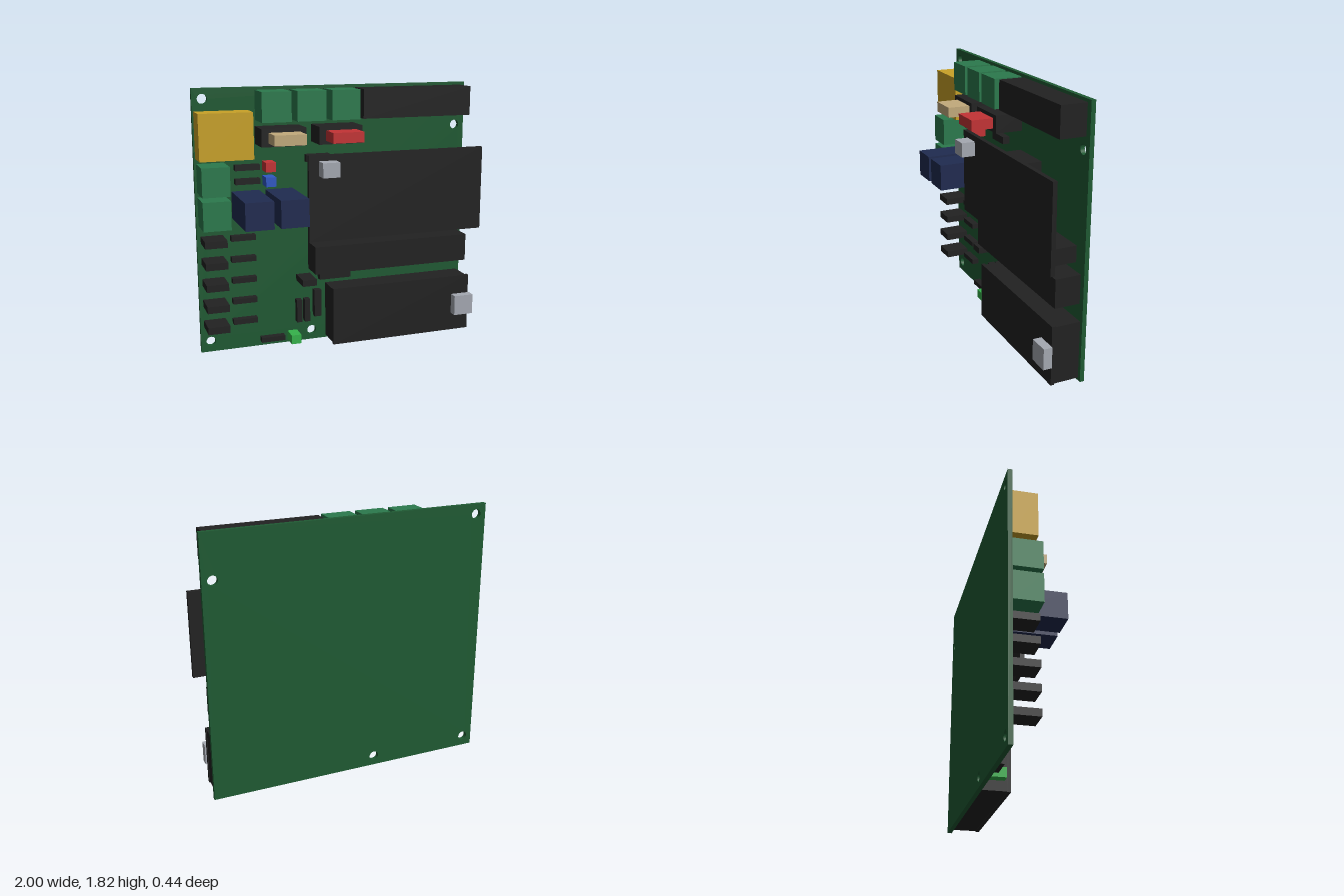
import * as THREE from 'three';

const mat = (name, color) => {
  const m = new THREE.MeshStandardMaterial({ color });
  m.name = name;
  return m;
};

export function createModel() {
  const model = new THREE.Group();
  model.name = 'circuitBoard';

  const board = mat('boardGreen', 0x1f5a33);
  const terminal = mat('terminalGreen', 0x2b7a4d);
  const black = mat('black', 0x222222);
  const yellow = mat('yellow', 0xc9a227);
  const tan = mat('tan', 0xc2aa7c);
  const red = mat('red', 0xc43335);
  const blue = mat('blue', 0x3059c4);
  const led = mat('ledGreen', 0x35b24b);
  const navy = mat('navy', 0x202b50);
  const grey = mat('grey', 0xa5a9b2);

  const FACE = -0.19; // front surface of the board

  // Box given by its extents; stands on the board unless z0 is given
  const block = (name, material, x0, x1, y0, y1, z1, z0 = FACE) => {
    const mesh = new THREE.Mesh(new THREE.BoxGeometry(x1 - x0, y1 - y0, z1 - z0), material);
    mesh.position.set((x0 + x1) / 2, (y0 + y1) / 2, (z0 + z1) / 2);
    mesh.name = name;
    model.add(mesh);
  };

  // Board with mounting holes
  const outline = new THREE.Shape();
  outline.moveTo(-1, 0).lineTo(0.97, 0).lineTo(0.97, 1.82).lineTo(-1, 1.82).closePath();
  for (const [x, y] of [[-0.93, 1.75], [0.9, 1.515], [-0.93, 0.075], [-0.2, 0.07]]) {
    outline.holes.push(new THREE.Path().absarc(x, y, 0.033, 0, Math.PI * 2, true));
  }
  const plate = new THREE.Mesh(
    new THREE.ExtrudeGeometry(outline, { depth: 0.03, bevelEnabled: false, curveSegments: 24 }), board);
  plate.position.z = FACE - 0.03;
  plate.name = 'board';
  model.add(plate);

  // Terminals along the top and left edges
  for (const x of [-0.58, -0.34, -0.1]) block('topTerminal', terminal, x, x + 0.2, 1.6, 1.8, 0.005);
  for (const y of [0.905, 1.13]) block('sideTerminal', terminal, -0.985, -0.8, y, y + 0.195, 0.005);
  block('powerRelay', yellow, -0.99, -0.63, 1.36, 1.67, -0.025);
  block('topHeader', black, 0.13, 0.93, 1.6, 1.8, -0.015);

  // Fuse sockets with coloured fuses
  for (const [x, m] of [[-0.585, tan], [-0.19, red]]) {
    block('fuseSocket', black, x, x + 0.305, 1.44, 1.56, 0);
    block('fuse', m, x + 0.047, x + 0.262, 1.465, 1.535, 0.155, 0);
  }

  // Indicator lights and their resistors
  block('redLight', red, -0.54, -0.47, 1.26, 1.325, -0.08);
  block('blueLight', blue, -0.54, -0.47, 1.16, 1.225, -0.08);
  block('greenLight', led, -0.38, -0.31, 0.02, 0.085, -0.08);
  for (const y of [1.175, 1.27]) block('lightResistor', black, -0.735, -0.565, y, y + 0.037, -0.14);
  block('lightResistor', black, -0.58, -0.41, 0.035, 0.07, -0.14);

  // Tall capacitors
  for (const x of [-0.755, -0.52]) block('capacitor', navy, x, x + 0.19, 0.94, 1.125, 0.22);

  // Rows of transistors and resistors
  for (let i = 0; i < 5; i++) {
    const y = 0.21 + i * 0.149;
    block('transistor', black, -0.975, -0.825, y - 0.024, y + 0.024, -0.02);
    block('resistor', black, -0.775, -0.605, y - 0.018, y + 0.018, -0.14);
  }

  // Small parts in the middle
  block('regulator', black, -0.31, -0.21, 0.455, 0.5, -0.02);
  block('longResistor', black, -0.15, 0.08, 0.455, 0.5, -0.14);
  for (const x of [-0.32, -0.262]) block('uprightResistor', black, x, x + 0.038, 0.155, 0.32, -0.14);
  block('uprightResistor', black, -0.19, -0.14, 0.185, 0.38, -0.14);

  // Parts beneath the raised card
  block('cardResistor', black, -0.24, -0.07, 1.305, 1.355, -0.14);
  block('cardChip', black, 0.1, 0.4, 1.195, 1.305, -0.07);
  block('cardHeader', black, -0.2, 0.87, 0.79, 0.9, -0.02);

  // Raised card with its plug
  block('raisedCard', black, -0.285, 1, 0.79, 1.38, 0.06, 0.03);
  block('cardPlug', grey, -0.215, -0.095, 1.24, 1.34, 0.155, 0.06);

  // Lower header and control module
  block('lowerHeader', black, -0.22, 0.93, 0.535, 0.73, -0.015);
  block('moduleBody', black, -0.095, 0.945, 0.02, 0.417, -0.015);
  block('moduleCover', black, -0.1, 0.95, 0.015, 0.425, 0.01, -0.015);
  block('modulePlug', grey, 0.815, 0.96, 0.145, 0.29, 0.07, 0.01);

  return model;
}
